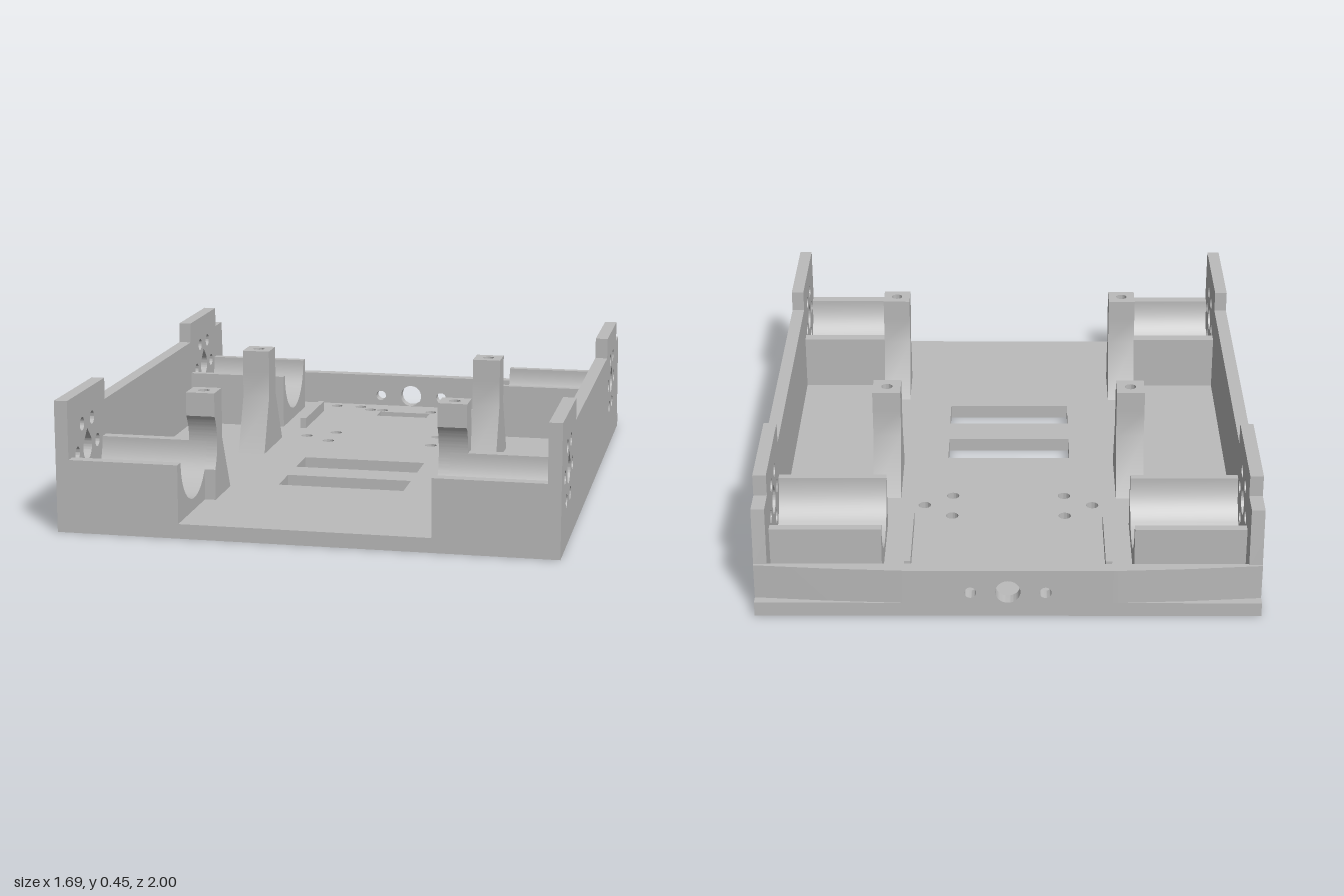
import * as THREE from 'three';
import { toCreasedNormals } from 'three/addons/utils/BufferGeometryUtils.js';

const grey = new THREE.MeshStandardMaterial({ color: 0xbbbbbb });
grey.name = 'plain grey';

const poly = (pts) => new THREE.Shape(pts.map(([a, b]) => new THREE.Vector2(a, b)));
const rect = (x0, y0, x1, y1) => poly([[x0, y0], [x1, y0], [x1, y1], [x0, y1]]);

function addHole(shape, x, y, r) {
  const p = new THREE.Path();
  p.absarc(x, y, r, 0, Math.PI * 2, true);
  shape.holes.push(p);
}

function extrude(shape, depth) {
  const g = new THREE.ExtrudeGeometry(shape, { depth, bevelEnabled: false, curveSegments: 24 });
  return toCreasedNormals(g, 0.5);
}

// Side profile drawn as (z, y), spanning x0..x1
const alongX = (shape, x0, x1) => extrude(shape, x1 - x0).rotateY(-Math.PI / 2).translate(x1, 0, 0);
// Plan drawn as (x, -z), spanning y0..y1
const alongY = (shape, y0, y1) => extrude(shape, y1 - y0).rotateX(-Math.PI / 2).translate(0, y0, 0);

const FLOOR = 0.05, AXLE_Y = 0.25, MOTOR_R = 0.16, AXLES = [0.8, -0.67];

function floorPlate() {
  const s = rect(-0.8, -1, 0.8, 1);
  s.holes.push(rect(-0.225, -0.15, 0.225, 0), rect(-0.225, -0.42, 0.225, -0.275), rect(-0.103, 0.753, 0.1, 0.828));
  const holes = [[0.3, 0.903], [0.2, 0.903], [0.15, 0.857], [0.1, 0.857], [0.2, 0.425], [0.3, 0.35], [0.2, 0.283]];
  for (const [x, y] of holes) for (const k of [-1, 1]) addHole(s, k * x, y, 0.022);
  return alongY(s, 0, FLOOR);
}

function sideWall(x0, x1) {
  const s = poly([[1, 0], [1, 0.45], [0.605, 0.45], [0.605, 0.375], [-0.48, 0.375], [-0.48, 0.45],
    [-0.85, 0.45], [-0.85, 0.375], [-0.945, 0.375], [-0.96, 0.175], [-0.965, FLOOR], [-1, FLOOR], [-1, 0]]);
  for (const z of AXLES) {
    // teardrop shaft hole with a ring of six screw holes
    const drop = new THREE.Path();
    drop.absarc(z, AXLE_Y, 0.045, Math.PI * 0.75, Math.PI * 2.25, false);
    drop.lineTo(z, AXLE_Y + 0.064);
    drop.closePath();
    s.holes.push(drop);
    for (let i = 0; i < 6; i++) {
      const a = i * Math.PI / 3;
      addHole(s, z + 0.105 * Math.cos(a), AXLE_Y + 0.105 * Math.sin(a), 0.023);
    }
  }
  return alongX(s, x0, x1);
}

function cradle(z0, z1, axle, x0, x1) {
  const s = new THREE.Shape();
  s.moveTo(z0, FLOOR);
  s.lineTo(z0, AXLE_Y);
  s.lineTo(axle - MOTOR_R, AXLE_Y);
  s.absarc(axle, AXLE_Y, MOTOR_R, Math.PI, Math.PI * 2, false);
  s.lineTo(z1, AXLE_Y);
  s.lineTo(z1, FLOOR);
  s.closePath();
  return alongX(s, x0, x1);
}

// Front post: sloped rear foot, front face scooped to clear the motor
function frontPostShape() {
  const a = Math.acos(0.13 / MOTOR_R);
  const s = new THREE.Shape();
  s.moveTo(0.475, FLOOR);
  s.lineTo(0.575, 0.25);
  s.lineTo(0.575, 0.35);
  s.lineTo(0.67, 0.35);
  s.absarc(AXLES[0], AXLE_Y, MOTOR_R, Math.PI - a, Math.PI + a, false);
  s.lineTo(0.67, FLOOR);
  s.closePath();
  return s;
}

const rearPostShape = () => poly([[-0.3, FLOOR], [-0.2, 0.25], [-0.2, 0.35], [-0.1, 0.35], [-0.1, 0.25], [-0.02, FLOOR]]);

// Post head with a screw hole in its top
function postHead(x, z0, z1) {
  const s = rect(x - 0.05, -z1, x + 0.05, -z0);
  addHole(s, x, -(z0 + z1) / 2, 0.02);
  return alongY(s, 0.35, 0.425);
}

export function createModel() {
  const model = new THREE.Group();
  model.name = 'chassis';
  const add = (name, geometry) => {
    const m = new THREE.Mesh(geometry, grey);
    m.name = name;
    model.add(m);
  };

  add('floorPlate', floorPlate());

  // Back wall: flat centre with holes, ends tapering in plan
  const back = rect(-0.35, FLOOR, 0.35, 0.175);
  addHole(back, 0, 0.093, 0.042);
  for (const k of [-1, 1]) addHole(back, k * 0.125, 0.09, 0.02);
  add('backWallCentre', extrude(back, 0.045).translate(0, 0, -1));

  for (const k of [-1, 1]) {
    const side = k > 0 ? 'left' : 'right';
    const span = (a, b) => (k > 0 ? [a, b] : [-b, -a]);
    const end = poly([[k * 0.35, 0.955], [k * 0.845, 0.955], [k * 0.845, 0.967], [k * 0.6, 0.987], [k * 0.35, 1]]);
    add(side + 'BackWallEnd', alongY(end, FLOOR, 0.175));
    add(side + 'Wall', sideWall(...span(0.8, 0.845)));
    add(side + 'FrontMotorCradle', cradle(0.6, 1, AXLES[0], ...span(0.425, 0.8)));
    add(side + 'RearMotorCradle', cradle(-0.86, -0.485, AXLES[1], ...span(0.425, 0.8)));
    add(side + 'FrontPost', alongX(frontPostShape(), ...span(0.387, 0.487)));
    add(side + 'FrontPostHead', postHead(k * 0.437, 0.575, 0.67));
    add(side + 'RearPost', alongX(rearPostShape(), ...span(0.387, 0.487)));
    add(side + 'RearPostHead', postHead(k * 0.437, -0.2, -0.1));
    add(side + 'FloorRib', new THREE.BoxGeometry(0.022, 0.04, 0.325).translate(k * 0.343, 0.07, -0.637));
  }
  return model;
}
